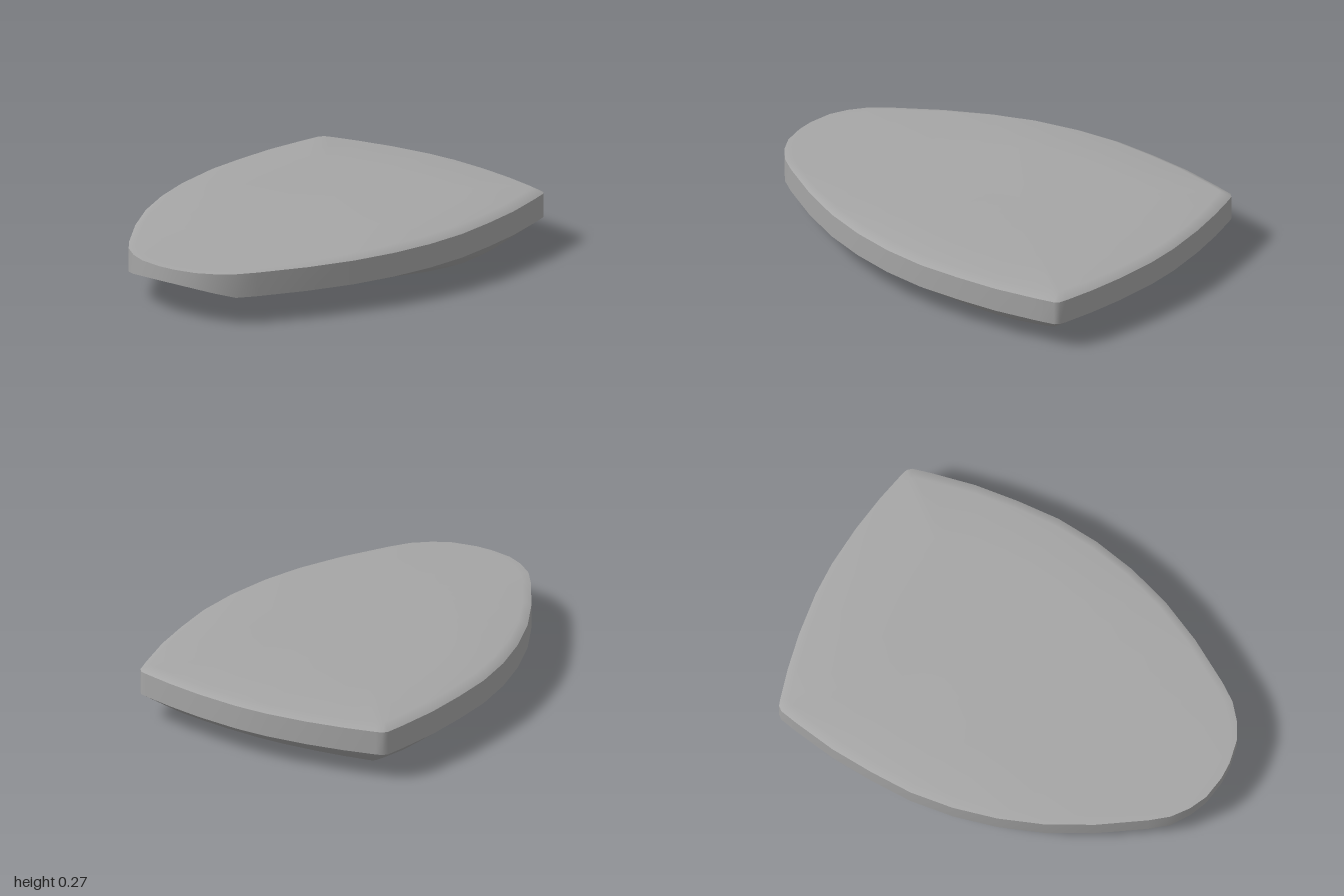
import * as THREE from 'three';

// Half outline from the rounded nose (-x) to the broad stern (+x): [x, z]
const half = [
  [-1, 0.04], [-0.98, 0.15], [-0.94, 0.23], [-0.88, 0.305], [-0.8, 0.365], [-0.6, 0.49],
  [-0.4, 0.59], [-0.2, 0.66], [0, 0.705], [0.2, 0.725], [0.4, 0.718], [0.6, 0.7],
  [0.8, 0.662], [0.885, 0.642], [0.905, 0.625], [0.915, 0.595], [0.95, 0.45], [0.98, 0.28], [1, 0.08],
];
const outline = [...half, ...half.map(([x, z]) => [x, -z]).reverse()];

// A ring is the outline, scaled and shifted, at a height given by a rule
const ring = (sx, ox, sz, height) => outline.map(([x, z]) => [x * sx + ox, height(x), z * sz]);

// Skin a sequence of closed rings
function loft(name, rings, material) {
  const n = outline.length;
  const index = [];
  for (let r = 0; r < rings.length - 1; r++) {
    for (let i = 0; i < n; i++) {
      const j = (i + 1) % n;
      const a = r * n + i, b = r * n + j, c = a + n, d = b + n;
      index.push(a, b, d, a, d, c);
    }
  }
  const geometry = new THREE.BufferGeometry();
  geometry.setAttribute('position', new THREE.Float32BufferAttribute(rings.flat(2), 3));
  geometry.setIndex(index);
  geometry.computeVertexNormals();
  const mesh = new THREE.Mesh(geometry, material);
  mesh.name = name;
  return mesh;
}

export function createModel() {
  const group = new THREE.Group();
  group.name = 'shieldShapedSlab';
  const grey = new THREE.MeshStandardMaterial({ color: 0xa6a6a6 });
  grey.name = 'plain grey';

  // The lower edge of the wall lifts at the nose
  const lowerEdge = ring(1, 0, 1, x => 0.127 + Math.max(0, -0.89 - x) * 0.4);
  const upperEdge = ring(1, 0, 1, () => 0.237);

  // Underside: shallow keel, flat toward the stern
  group.add(loft('underside', [
    ring(0, 0.42, 0, () => 0),
    ring(0.325, 0.425, 0.67, () => 0.004),
    ring(0.55, 0.29, 0.8, () => 0.025),
    lowerEdge,
  ], grey));

  // Upright side wall
  group.add(loft('sideWall', [lowerEdge, upperEdge], grey));

  // Deck: bevelled border, almost flat crown, sloping down to the nose
  const deckHeight = x => 0.262 - 0.022 * Math.min(1, Math.max(0, (-0.25 - x) / 0.75));
  group.add(loft('deck', [
    upperEdge,
    ring(0.96, 0, 0.94, deckHeight),
    ring(0.55, 0.1, 0.6, x => deckHeight(x) * 0.4 + 0.161),
    ring(0, 0.2, 0, () => 0.268),
  ], grey));

  return group;
}
